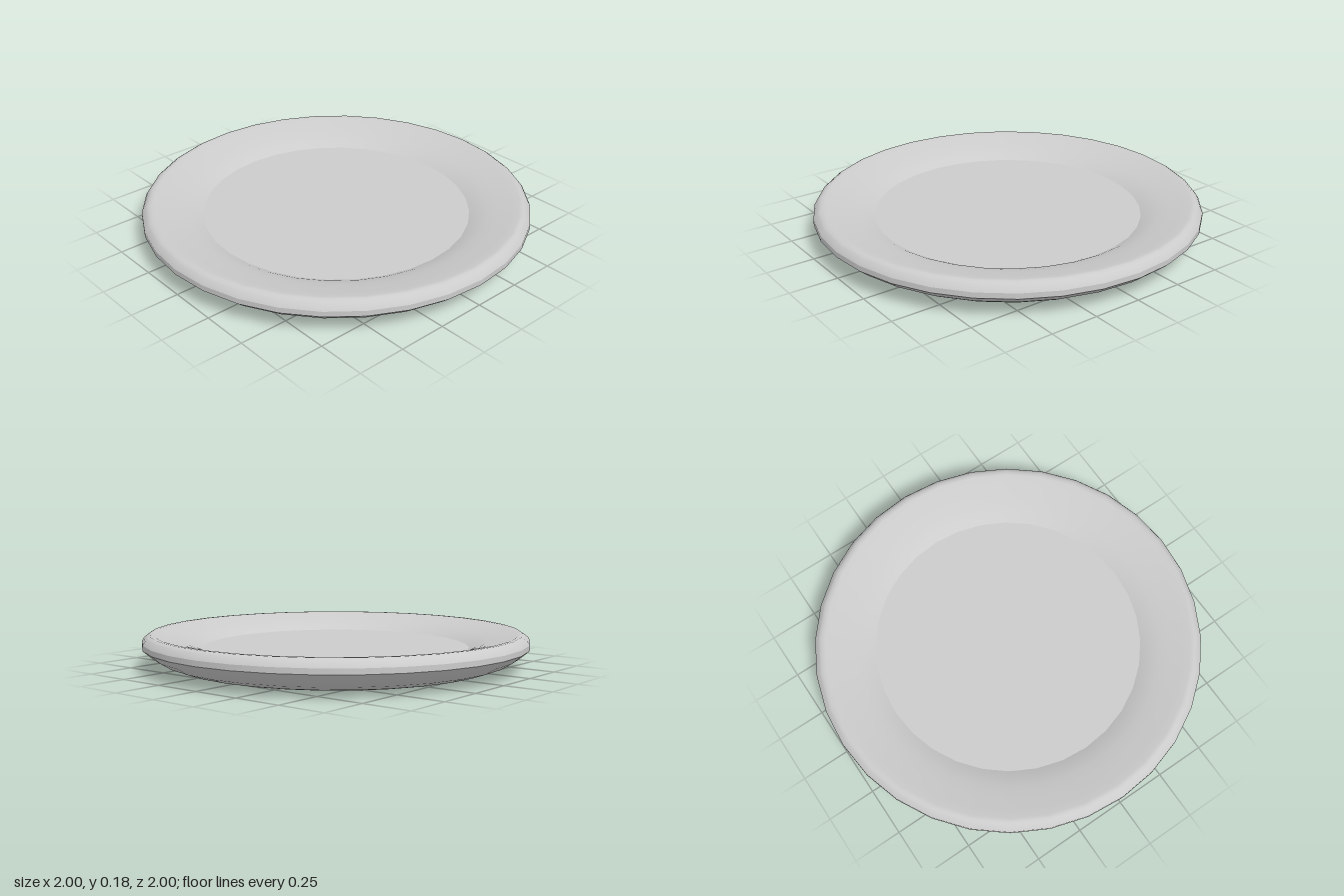
import * as THREE from 'three';

const SIDES = 32;
const material = new THREE.MeshStandardMaterial({ color: 0xcccccc });

// Each part is a smooth ring; separate parts meet at sharp creases.
// Profiles run outwards underneath, up the edge, then inwards on top.
const parts = {
  underside: [[0, 0], [0.74, 0], [0.78, 0.004], [0.83, 0.015], [0.9, 0.04], [0.955, 0.073], [1, 0.112]],
  edgeBand: [[1, 0.112], [1, 0.14]],
  upperRim: [[1, 0.14], [0.99, 0.157], [0.975, 0.17]],
  slopingWall: [[0.975, 0.17], [0.96, 0.18], [0.94, 0.18], [0.9, 0.17], [0.84, 0.156],
    [0.78, 0.14], [0.73, 0.122], [0.69, 0.1]],
  floor: [[0.69, 0.1], [0, 0.1]],
};

export function createModel() {
  const plate = new THREE.Group();
  plate.name = 'plate';
  for (const [name, profile] of Object.entries(parts)) {
    const points = profile.map(([r, y]) => new THREE.Vector2(r, y));
    const mesh = new THREE.Mesh(new THREE.LatheGeometry(points, SIDES), material);
    mesh.name = name;
    plate.add(mesh);
  }
  return plate;
}
